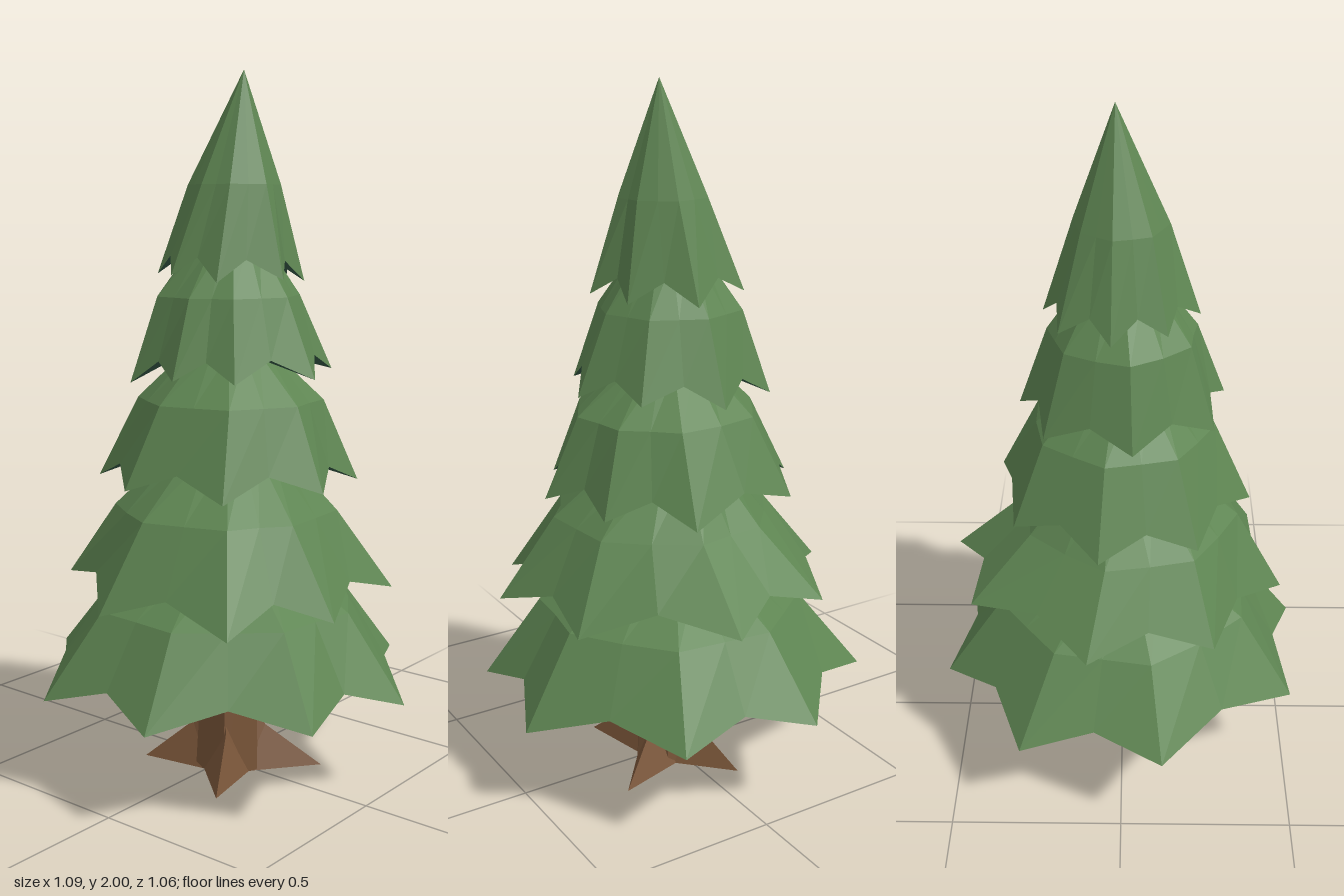
import * as THREE from 'three';

const needles = new THREE.MeshStandardMaterial({ color: 0x5e8552 });
needles.name = 'needle green';
const underside = new THREE.MeshStandardMaterial({ color: 0x365a47 });
underside.name = 'shaded green';
const bark = new THREE.MeshStandardMaterial({ color: 0x785438 });
bark.name = 'bark brown';
for (const m of [needles, underside, bark]) m.flatShading = true;

// Flat-faced geometry from a list of triangles of [x, y, z] points.
function facets(triangles) {
  const g = new THREE.BufferGeometry();
  g.setAttribute('position', new THREE.Float32BufferAttribute(triangles.flat(2), 3));
  g.computeVertexNormals();
  return g;
}

// Skin between successive closed rings of equal length.
function loft(rings) {
  const tris = [];
  for (let k = 0; k + 1 < rings.length; k++) {
    const a = rings[k], b = rings[k + 1], n = a.length;
    for (let i = 0; i < n; i++) {
      const j = (i + 1) % n;
      tris.push([a[j], a[i], b[i]], [a[j], b[i], b[j]]);
    }
  }
  return facets(tris);
}

// tips: angle in degrees from +x towards +z, and radius of each branch tip
// mid, top: [radius, y, centre x, centre z]; tilt: [rise per x, rise per z] of the rim
const tiers = [
  { y: 0.28, tilt: [-0.01, 0], valley: 0.84, mid: [0.385, 0.51, 0.005, 0.005], top: [0.17, 0.65, 0, 0], inner: [0.07, 0.40],
    tips: [[-105, 0.55], [-62, 0.557], [-12, 0.557], [27, 0.555], [73, 0.555], [115, 0.56], [168, 0.56], [211, 0.565]] },
  { y: 0.57, tilt: [-0.03, -0.05], valley: 0.83, mid: [0.32, 0.785, 0.02, 0.02], top: [0.15, 0.95, 0.01, 0], inner: [0.15, 0.66],
    tips: [[-117, 0.49], [-79, 0.515], [-27, 0.485], [17, 0.51], [50.5, 0.52], [96, 0.478], [145, 0.456], [192, 0.46]] },
  { y: 0.865, tilt: [0, 0], valley: 0.85, mid: [0.265, 1.095, 0.02, 0], top: [0.12, 1.23, 0.015, 0], inner: [0.14, 0.95],
    tips: [[-124, 0.365], [-68, 0.39], [-30, 0.38], [8, 0.385], [52, 0.375], [98, 0.37], [145, 0.365], [190, 0.365]] },
  { y: 1.16, tilt: [0.03, 0], valley: 0.85, mid: [0.208, 1.385, 0.005, 0], top: [0.1, 1.53, 0.015, -0.005], inner: [0.11, 1.23],
    tips: [[-132, 0.285], [-88, 0.29], [-43, 0.305], [-2, 0.305], [46, 0.29], [80, 0.29], [118, 0.285], [174, 0.275]] },
  { y: 1.435, tilt: [-0.03, 0.03], valley: 0.82, mid: [0.13, 1.69, 0.03, -0.005], top: [0, 2, 0.05, -0.02], inner: [0.09, 1.52],
    tips: [[-77, 0.225], [-27, 0.225], [10, 0.238], [57, 0.22], [95, 0.21], [141, 0.19], [189, 0.188], [233, 0.212]] },
];

function buildTier(t, index) {
  const rim = [], mid = [], top = [], inner = [];
  const addColumn = (deg, r, y, midScale) => {
    const c = Math.cos(deg * Math.PI / 180), s = Math.sin(deg * Math.PI / 180);
    const at = ([radius, h, x = 0, z = 0], k = 1) => [x + c * radius * k, h, z + s * radius * k];
    rim.push([c * r, y + t.tilt[0] * c * r + t.tilt[1] * s * r, s * r]);
    mid.push(at(t.mid, midScale));
    top.push(at(t.top));
    inner.push(at(t.inner));
  };
  // Branch tips droop; the notches between them sit higher and further in
  t.tips.forEach(([deg, r], i) => {
    const next = t.tips[(i + 1) % t.tips.length];
    const nextDeg = next[0] + (next[0] < deg ? 360 : 0);
    addColumn(deg, r, t.y + 0.008 * Math.sin(i * 2.3 + index), 1);
    addColumn((deg + nextDeg) / 2, (r + next[1]) / 2 * t.valley, t.y + 0.055, 0.93);
  });
  const group = new THREE.Group();
  group.name = 'branchTier' + (index + 1);
  const outer = new THREE.Mesh(loft([rim, mid, top]), needles);
  outer.name = 'needles';
  const under = new THREE.Mesh(loft([inner, rim]), underside);
  under.name = 'tierUnderside';
  group.add(outer, under);
  return group;
}

// Wedge-shaped root running from the trunk to a tip on the ground
function buildRoot(x, z) {
  const len = Math.hypot(x, z), dx = x / len, dz = z / len, w = 0.07;
  const p = (along, side, y) => [0.015 + dx * along - dz * side, y, dz * along + dx * side];
  const tip = [x, 0, z], crest = p(0.06, 0, 0.2), knee = p(0.108, 0, 0.12);
  const a = p(0.055, w, 0), b = p(0.055, -w, 0);
  const mesh = new THREE.Mesh(facets([
    [a, tip, knee], [a, knee, crest], [b, knee, tip], [b, crest, knee], [a, b, tip],
  ]), bark);
  mesh.name = 'root';
  return mesh;
}

export function createModel() {
  const tree = new THREE.Group();
  tree.name = 'pineTree';

  const trunk = new THREE.Mesh(new THREE.CylinderGeometry(0.078, 0.105, 0.44, 6), bark);
  trunk.name = 'trunk';
  trunk.rotation.y = Math.PI / 6;
  trunk.position.set(0.016, 0.22, 0);
  tree.add(trunk);

  for (const [x, z] of [[0.15, 0.225], [-0.205, 0.125], [-0.09, -0.23], [0.243, -0.15]]) tree.add(buildRoot(x, z));
  tiers.forEach((t, i) => tree.add(buildTier(t, i)));
  return tree;
}
